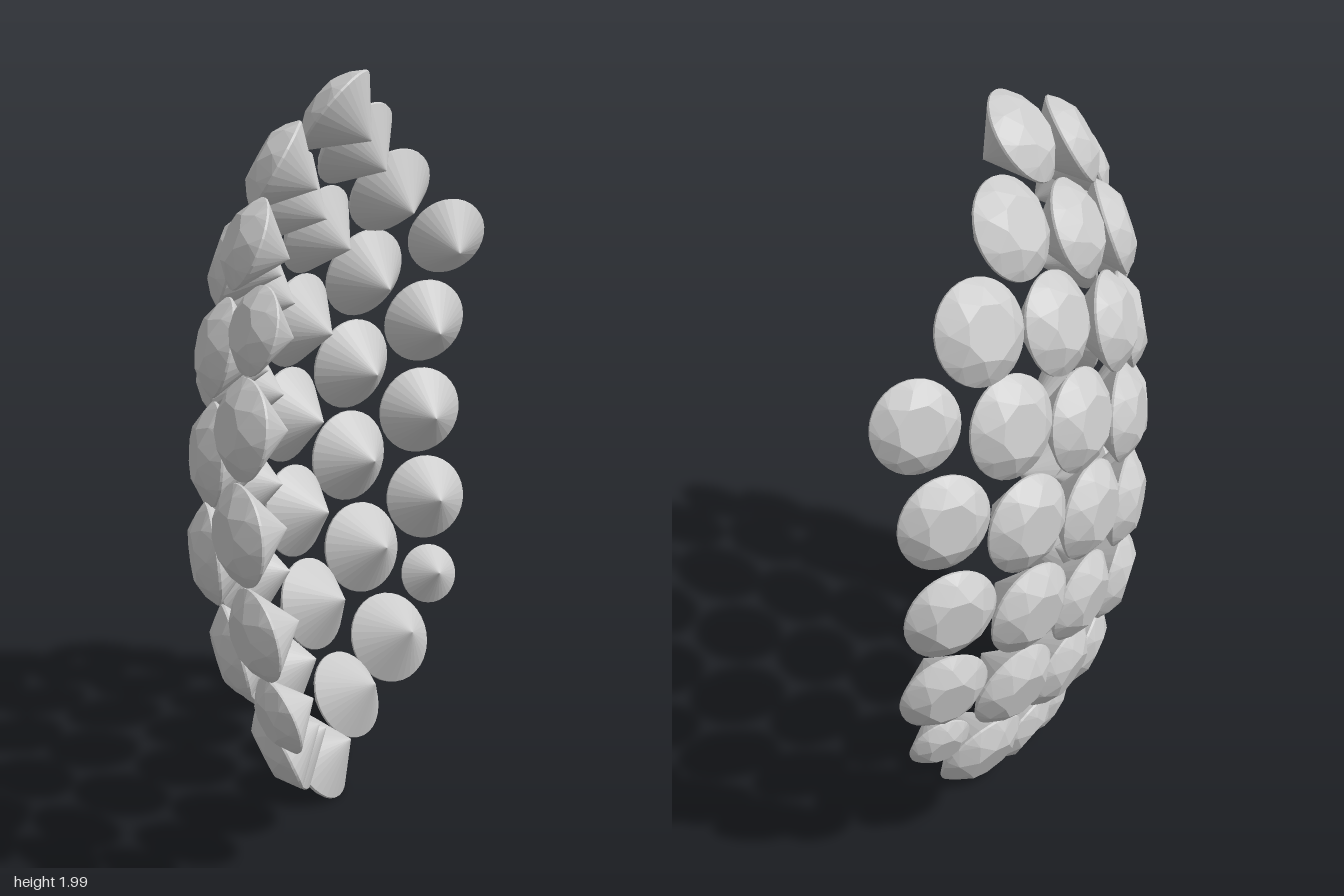
import * as THREE from 'three';
import { ConvexGeometry } from 'three/addons/geometries/ConvexGeometry.js';

// Ellipsoid on which the stones sit
const CENTER = new THREE.Vector3(0.516, 0.98, -0.248);
const RADIUS_XZ = 0.894, RADIUS_Y = 1.25;

// Round brilliant of unit radius: crown up (+y), point down
function makeGemGeometry() {
  const pts = [];
  const ring = (n, r, y, offset = 0) => {
    for (let i = 0; i < n; i++) {
      const a = ((i + offset) / n) * Math.PI * 2;
      pts.push(new THREE.Vector3(r * Math.cos(a), y, r * Math.sin(a)));
    }
  };
  ring(8, 0.54, 0.39);        // table
  ring(8, 0.82, 0.215, 0.5);  // crown facets
  ring(32, 1, 0.025);         // girdle
  ring(32, 1, -0.025);
  pts.push(new THREE.Vector3(0, -0.95, 0)); // culet
  return new ConvexGeometry(pts);
}

// Columns of [y, z, radius?], depth taken from the ellipsoid
const sideColumns = [
  [[1.464, -0.57, 0.115], [1.21, -0.55, 0.123], [0.94, -0.55, 0.126], [0.68, -0.55, 0.122], [0.46, -0.52, 0.086]],
  [[1.62, -0.35], [1.38, -0.33], [1.11, -0.32], [0.84, -0.31], [0.57, -0.32], [0.31, -0.345]],
  [[1.78, -0.145], [1.54, -0.1], [1.28, -0.085, 0.134], [1.01, -0.07, 0.134], [0.73, -0.08], [0.465, -0.09], [0.21, -0.125, 0.125]],
];

// Columns of [x, y, z, radius?], turning towards the front
const frontColumns = [
  [[-0.02, 1.9, 0.055, 0.128], [-0.15, 1.67, 0.11], [-0.24, 1.42, 0.15], [-0.275, 1.15, 0.165],
    [-0.285, 0.88, 0.165], [-0.26, 0.62, 0.16], [-0.185, 0.355, 0.125], [-0.08, 0.115, 0.075, 0.125]],
  [[0.02, 1.79, 0.29, 0.125], [-0.075, 1.55, 0.345], [-0.12, 1.28, 0.36], [-0.13, 1.01, 0.37],
    [-0.125, 0.74, 0.36], [-0.07, 0.48, 0.33], [0.025, 0.24, 0.275, 0.125]],
  [[0.125, 1.635, 0.47, 0.117], [0.075, 1.38, 0.52, 0.124], [0.06, 1.11, 0.535], [0.04, 0.845, 0.53],
    [0.09, 0.59, 0.5, 0.124], [0.175, 0.34, 0.43, 0.122]],
  [[0.28, 1.467, 0.58, 0.108], [0.28, 1.235, 0.62, 0.123], [0.265, 0.97, 0.62, 0.127],
    [0.29, 0.717, 0.595, 0.12], [0.305, 0.495, 0.54, 0.103]],
];

function surfaceX(y, z) {
  const dy = (y - CENTER.y) / RADIUS_Y, dz = z - CENTER.z;
  return CENTER.x - Math.sqrt(RADIUS_XZ ** 2 * (1 - dy * dy) - dz * dz);
}

export function createModel() {
  const model = new THREE.Group();
  model.name = 'gemCluster';
  const geometry = makeGemGeometry();
  const material = new THREE.MeshStandardMaterial({ color: 0xcccccc, flatShading: true });
  const up = new THREE.Vector3(0, 1, 0);

  const columns = [
    ...sideColumns.map((c) => c.map(([y, z, r]) => [surfaceX(y, z), y, z, r])),
    ...frontColumns,
  ];
  columns.forEach((stones, c) => {
    const column = new THREE.Group();
    column.name = `gemColumn${c + 1}`;
    stones.forEach(([x, y, z, r = 0.13], i) => {
      const gem = new THREE.Mesh(geometry, material);
      gem.name = `gem${i + 1}`;
      gem.position.set(x, y, z);
      gem.scale.setScalar(r);
      // Crown faces out along the ellipsoid normal
      const normal = gem.position.clone().sub(CENTER);
      normal.y *= (RADIUS_XZ / RADIUS_Y) ** 2;
      gem.quaternion.setFromUnitVectors(up, normal.normalize());
      column.add(gem);
    });
    model.add(column);
  });
  return model;
}
